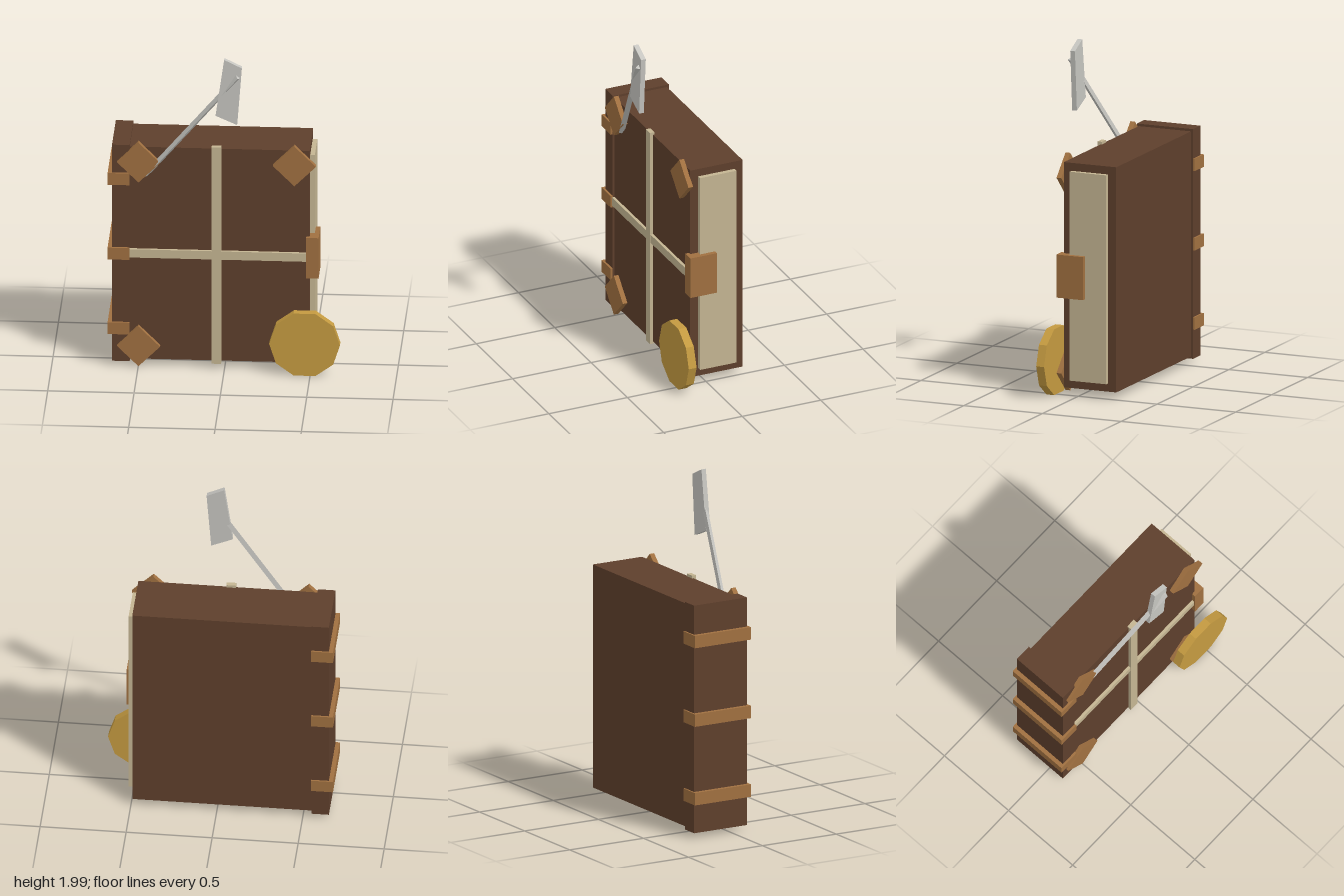
import * as THREE from 'three';

const flat = (name, color) => {
  const m = new THREE.MeshStandardMaterial({ color });
  m.name = name;
  return m;
};

export function createModel() {
  const group = new THREE.Group();
  const leather = flat('dark leather', 0x5e3f2c);
  const tan = flat('tan fittings', 0xa07040);
  const paper = flat('parchment', 0xc4b592);
  const gold = flat('gold seal', 0xc49a40);
  const grey = flat('quill grey', 0xc6c5c0);

  const add = (name, geometry, material) => {
    const mesh = new THREE.Mesh(geometry, material);
    mesh.name = name;
    group.add(mesh);
    return mesh;
  };
  // Box given by its limits on each axis
  const box = (name, material, [x0, x1], [y0, y1], [z0, z1]) => {
    const mesh = add(name, new THREE.BoxGeometry(x1 - x0, y1 - y0, z1 - z0), material);
    mesh.position.set((x0 + x1) / 2, (y0 + y1) / 2, (z0 + z1) / 2);
    return mesh;
  };

  // Book body, spine and page edge
  box('cover', leather, [-0.56, 0.492], [0.048, 1.382], [-0.237, 0.096]);
  box('spine', leather, [-0.652, -0.55], [0.035, 1.396], [-0.25, 0.108]);
  box('pages', paper, [0.48, 0.519], [0.097, 1.335], [-0.185, 0.046]);

  // Raised bands around the spine
  for (const y of [0.245, 0.715, 1.185])
    box('spineBand', tan, [-0.677, -0.55], [y - 0.037, y + 0.037], [-0.26, 0.121]);

  // Crossed straps and clasp
  box('verticalStrap', paper, [-0.075, -0.02], [0.035, 1.398], [0.088, 0.116]);
  box('horizontalStrap', paper, [-0.56, 0.506], [0.69, 0.742], [0.088, 0.113]);
  box('clasp', tan, [0.473, 0.545], [0.588, 0.843], [-0.05, 0.119]);

  // Diamond corner plates
  for (const x of [-0.498, 0.405])
    for (const y of [0.137, 1.294]) {
      const plate = add('cornerPlate', new THREE.BoxGeometry(0.177, 0.177, 0.03), tan);
      plate.position.set(x, y, 0.11);
      plate.rotation.z = Math.PI / 4;
    }

  // Ten-sided seal
  const seal = add('seal',
    new THREE.CylinderGeometry(0.205, 0.205, 0.05, 10, 1, false, Math.PI / 2).toNonIndexed(), gold);
  seal.geometry.computeVertexNormals();
  seal.rotation.x = Math.PI / 2;
  seal.position.set(0.468, 0.2, 0.164);

  // Quill: three-sided shaft and slanted vane
  const from = new THREE.Vector3(-0.455, 1.205, 0.095);
  const to = new THREE.Vector3(0.085, 1.895, 0.24);
  const dir = to.clone().sub(from);
  const shaft = add('quillShaft',
    new THREE.CylinderGeometry(0.018, 0.018, dir.length(), 3).toNonIndexed(), grey);
  shaft.geometry.computeVertexNormals();
  shaft.position.copy(from).lerp(to, 0.5);
  shaft.quaternion.setFromUnitVectors(new THREE.Vector3(0, 1, 0), dir.normalize());

  const outline = [[0.005, 2], [-0.045, 1.647], [0.08, 1.592], [0.107, 1.95]];
  const vane = add('quillVane', new THREE.ExtrudeGeometry(
    new THREE.Shape(outline.map(([x, y]) => new THREE.Vector2(x, y))),
    { depth: 0.03, bevelEnabled: false }), grey);
  vane.position.z = 0.201;

  return group;
}
